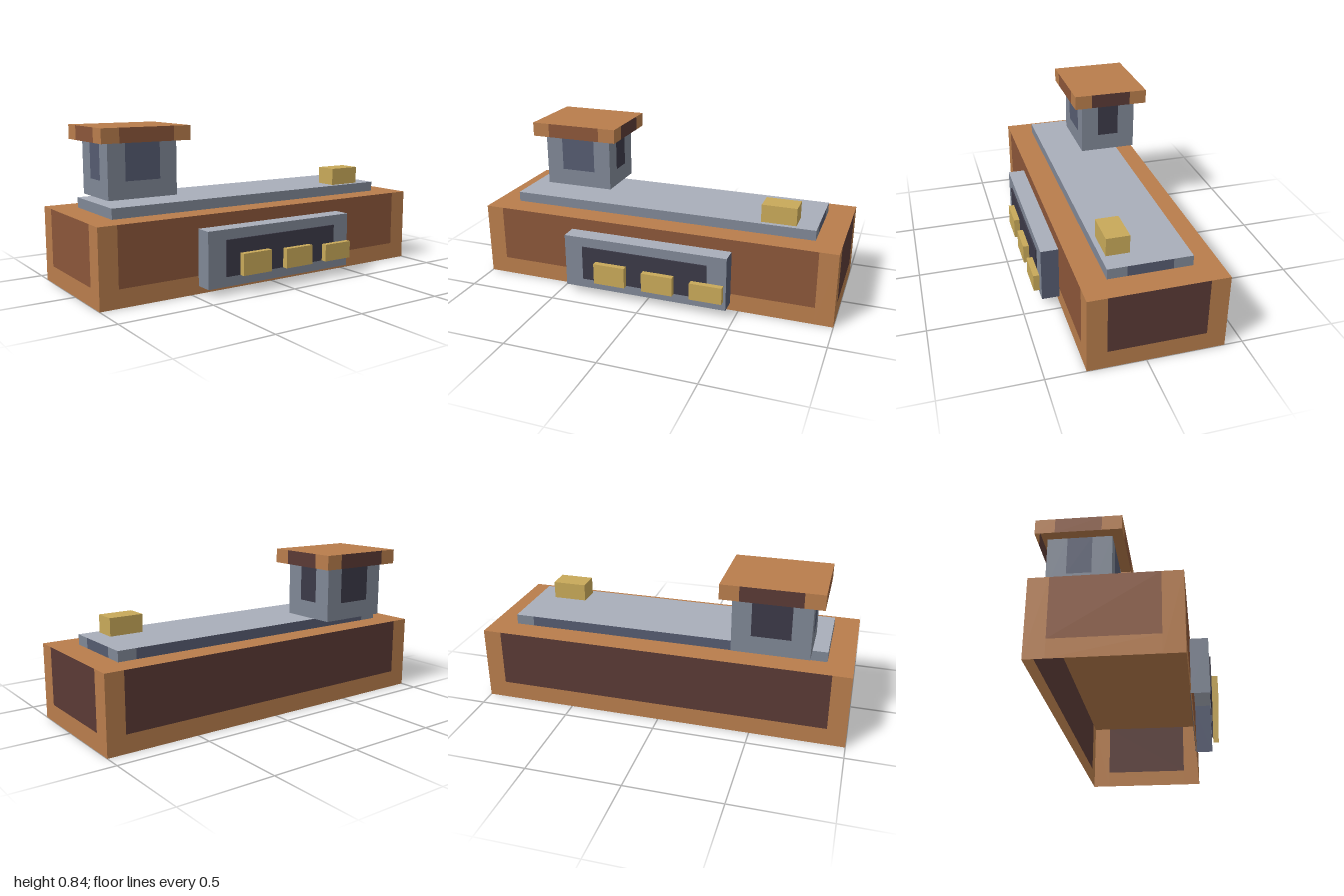
import * as THREE from 'three';
import { mergeGeometries } from 'three/addons/utils/BufferGeometryUtils.js';

const makeMaterial = (name, color) => {
  const m = new THREE.MeshStandardMaterial({ color, side: THREE.DoubleSide });
  m.name = name;
  return m;
};

export function createModel() {
  const wood = makeMaterial('orange wood', 0xb87d4c);
  const brown = makeMaterial('brown panel', 0x8b5639);
  const darkBrown = makeMaterial('dark brown panel', 0x5a3a35);
  const paleStone = makeMaterial('pale stone', 0xa9aeba);
  const stone = makeMaterial('stone', 0x7f8795);
  const slate = makeMaterial('slate', 0x555b70);
  const charcoal = makeMaterial('charcoal', 0x3b3947);
  const gold = makeMaterial('gold', 0xc8a959);

  const model = new THREE.Group();
  model.name = 'hearthBlock';

  const rect = (u0, u1, v0, v1, d) =>
    new THREE.PlaneGeometry(u1 - u0, v1 - v0).translate((u0 + u1) / 2, (v0 + v1) / 2, d);

  // One upright wall facing +z: a frame with an optional panel reaching its top edge
  function wall(name, width, height, depth, base, panel, rise, turn) {
    const g = new THREE.Group();
    const add = (part, geometry, material) => {
      const mesh = new THREE.Mesh(geometry, material);
      mesh.name = name + part;
      g.add(mesh);
    };
    const w = width / 2, inner = w - 0.1;
    if (panel) {
      const strips = [rect(-w, -inner, 0, height, depth), rect(inner, w, 0, height, depth)];
      if (rise > 0) strips.push(rect(-inner, inner, 0, rise, depth));
      add('Frame', mergeGeometries(strips), base);
      add('Panel', rect(-inner, inner, rise, height, depth), panel);
    } else {
      add('Face', rect(-w, w, 0, height, depth), base);
    }
    g.name = name;
    g.rotation.y = turn;
    return g;
  }

  // Block open underneath; bases and panels are listed front, right, back, left
  function block(name, [x0, x1], [y0, y1], [z0, z1], top, bases, panels = [], rise = 0) {
    const g = new THREE.Group();
    g.name = name;
    const w = x1 - x0, h = y1 - y0, d = z1 - z0;
    ['front', 'right', 'back', 'left'].forEach((side, i) => {
      const [width, depth] = i % 2 ? [d, w / 2] : [w, d / 2];
      g.add(wall(side, width, h, depth, bases[i], panels[i], rise, i * Math.PI / 2));
    });
    const lid = new THREE.Mesh(new THREE.PlaneGeometry(w, d).rotateX(-Math.PI / 2), top);
    lid.name = 'top';
    lid.position.y = h;
    g.add(lid);
    g.position.set((x0 + x1) / 2, y0, (z0 + z1) / 2);
    model.add(g);
  }

  const all = (m) => [m, m, m, m];
  const woodPanels = [brown, darkBrown, darkBrown, brown];

  // Wooden body and the stone slab on it
  block('body', [-1, 1], [0, 0.405], [-0.405, 0.298], wood, all(wood), woodPanels, 0.095);
  block('slab', [-0.865, 0.86], [0.405, 0.46], [-0.27, 0.162], paleStone, all(stone),
    [null, slate, slate, null]);

  // Chimney with its wooden cap
  block('chimney', [-0.785, -0.383], [0.46, 0.759], [-0.378, -0.054], stone, all(stone),
    [slate, charcoal, charcoal, slate], 0.095);
  block('chimneyCap', [-0.84, -0.326], [0.759, 0.838], [-0.432, 0], wood, all(wood), woodPanels);

  // Hearth surround and dark opening
  block('hearth', [-0.46, 0.455], [0.042, 0.338], [0.293, 0.392], paleStone,
    [stone, slate, slate, stone]);
  block('hearthOpening', [-0.355, 0.35], [0.095, 0.285], [0.391, 0.4], charcoal, all(charcoal));

  // Gold bars in the opening and a gold brick on the slab
  [[-0.275, -0.098, 0.21], [0, 0.173, 0.2], [0.267, 0.443, 0.188]].forEach(([a, b, h], i) =>
    block('goldBar' + (i + 1), [a, b], [0.095, h], [0.4, 0.432], gold, all(gold)));
  block('goldBrick', [0.565, 0.753], [0.46, 0.556], [0.015, 0.136], gold, all(gold));

  return model;
}
